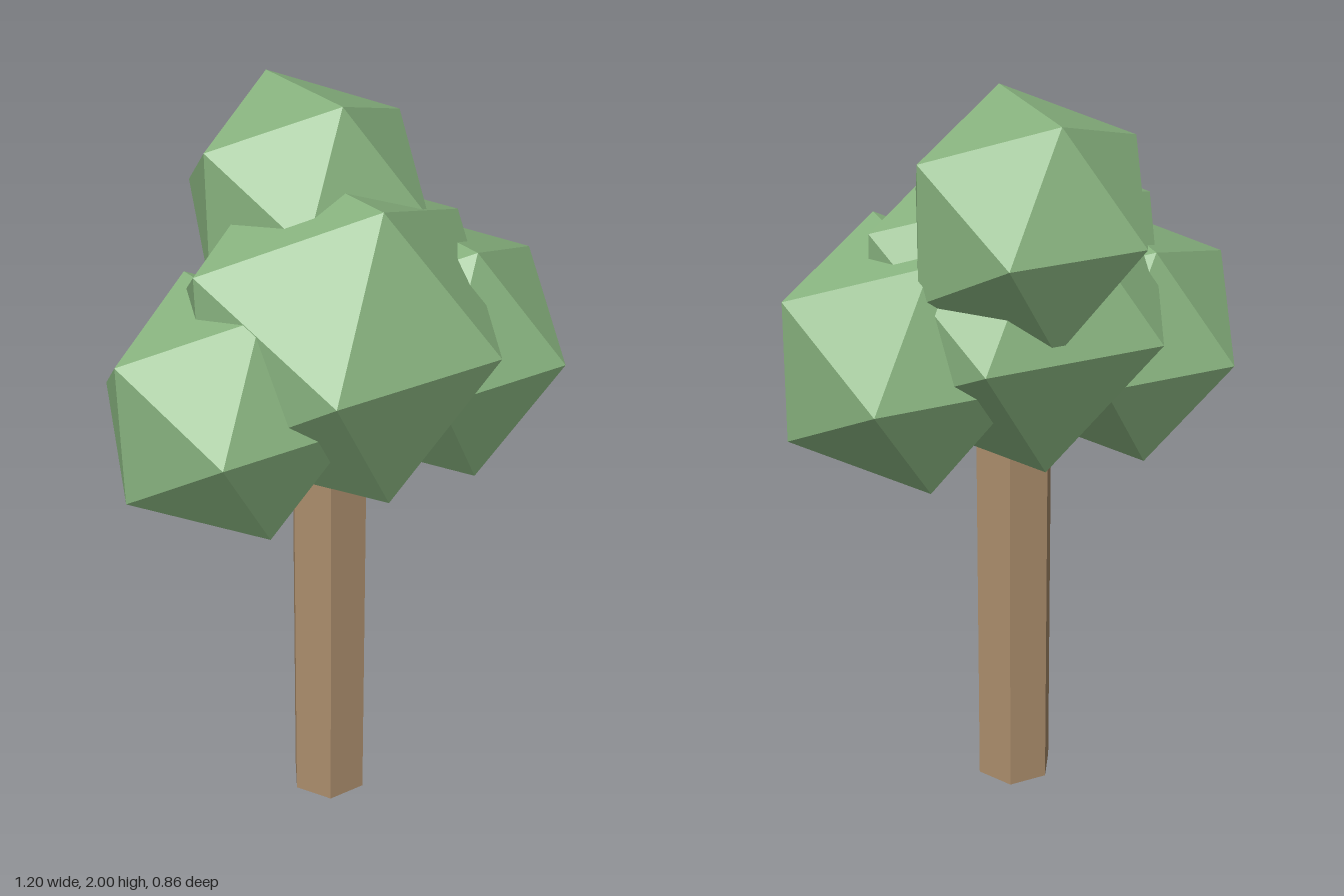
import * as THREE from 'three';

export function createModel() {
  const tree = new THREE.Group();
  tree.name = 'tree';

  const leafGreen = new THREE.MeshStandardMaterial({ color: 0x88b37f, flatShading: true });
  leafGreen.name = 'leaf green';
  const barkBrown = new THREE.MeshStandardMaterial({ color: 0xab8d6c, flatShading: true });
  barkBrown.name = 'bark brown';

  // Six-sided trunk with corners on the x axis
  const trunkHeight = 1.06;
  const trunk = new THREE.Mesh(new THREE.CylinderGeometry(0.108, 0.108, trunkHeight, 6), barkBrown);
  trunk.name = 'trunk';
  trunk.rotation.y = Math.PI / 6;
  trunk.position.set(-0.007, trunkHeight / 2, 0.03);
  tree.add(trunk);

  // Foliage clumps: name, centre, radius, backward tilt in degrees
  const clumps = [
    ['middleFoliage', [-0.005, 1.428, 0.044], 0.452, 3.3],
    ['topFoliage', [0.036, 1.71, -0.147], 0.335, 1.7],
    ['rightFoliage', [-0.303, 1.295, 0.024], 0.349, 3],
    ['leftFoliage', [0.29, 1.325, 0.06], 0.365, 2.5],
  ];
  for (const [name, centre, radius, tilt] of clumps) {
    const clump = new THREE.Mesh(new THREE.IcosahedronGeometry(radius, 0), leafGreen);
    clump.name = name;
    clump.position.set(...centre);
    clump.rotation.set(-THREE.MathUtils.degToRad(tilt), 0, Math.PI / 2);
    tree.add(clump);
  }

  return tree;
}
